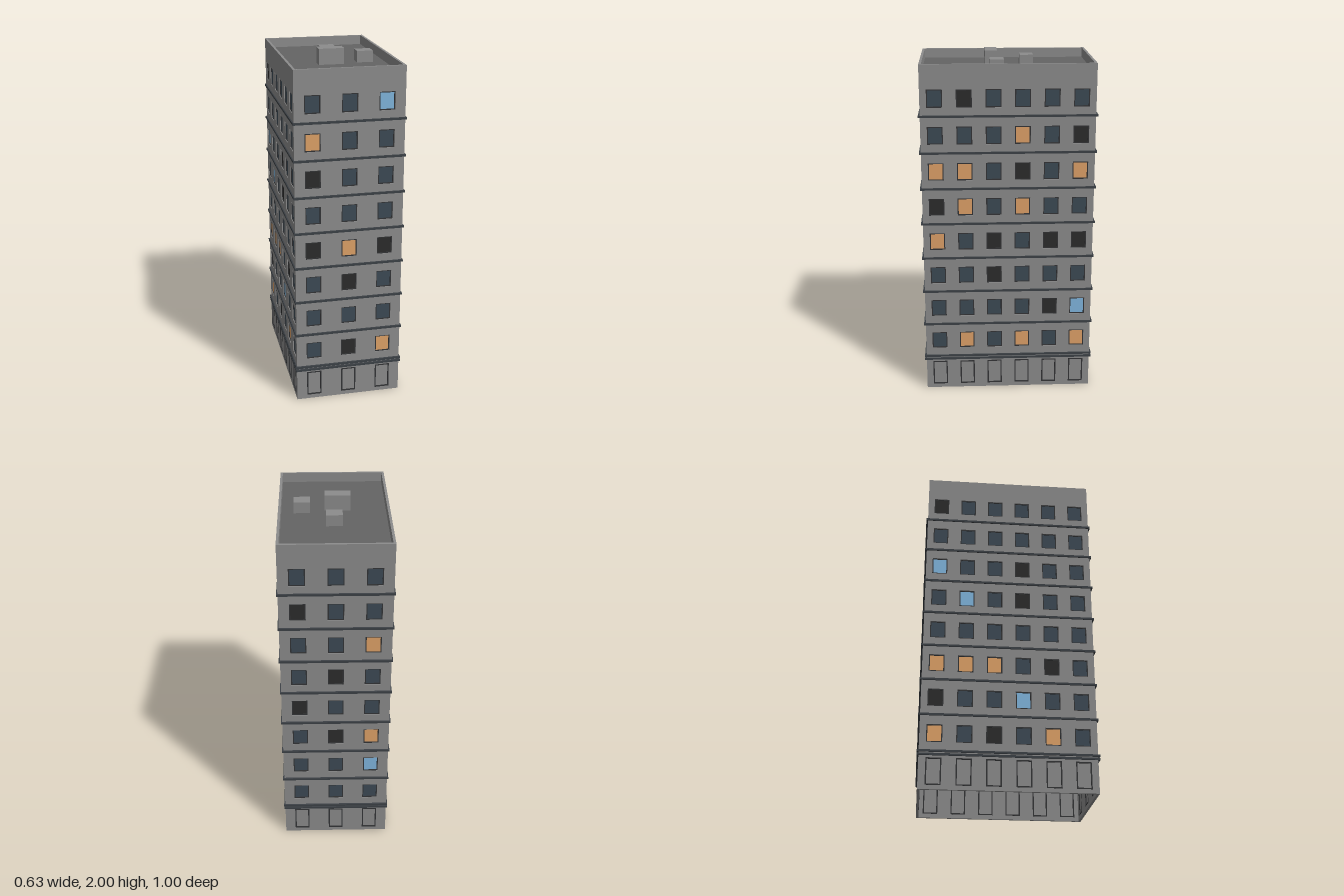
import * as THREE from 'three';

const W = 0.614, D = 0.98, H = 1.965, T = 0.014;   // outer walls
const FLOOR = 0.2087, FIRST = 0.315;               // storey pitch, lowest window centre
const WIN = [0.088, 0.102], DOOR = [0.086, 0.152], DOOR_Y = 0.1;

const paint = (color) => new THREE.MeshStandardMaterial({ color, roughness: 0.9 });
const wallMat = paint(0x8c8c8c), roofMat = paint(0x646464);
const ledgeMat = paint(0x3c4146), frameMat = paint(0x333436);
// N: unlit glass, K: dark room, O: warm light, B: cool light
const glass = { N: paint(0x3d4a55), K: paint(0x2c2c2c), O: paint(0xdfa268), B: paint(0x80b6de) };

// Window states per side, top storey first, left to right seen from outside
const FRONT = ['NNB', 'ONN', 'KNN', 'NNN', 'KOK', 'NKN', 'NNN', 'NKO'];
const BACK = ['NNN', 'KNN', 'NNO', 'NKN', 'KNN', 'NKO', 'NNB', 'NNN'];
const RIGHT = ['NKNNNN', 'NNNONK', 'OONKNO', 'KONONN', 'ONKNKK', 'NNKNNN', 'NNNNKB', 'NONONO'];
const LEFT = ['KNNNNN', 'NNNNNN', 'BNNKNN', 'NBNKNN', 'NNNNNN', 'OOONKN', 'KNNBNN', 'ONKNON'];

function rect(path, cx, cy, w, h) {
  path.moveTo(cx - w / 2, cy - h / 2);
  path.lineTo(cx + w / 2, cy - h / 2);
  path.lineTo(cx + w / 2, cy + h / 2);
  path.lineTo(cx - w / 2, cy + h / 2);
  path.closePath();
  return path;
}

const extrude = (shape, depth) => new THREE.ExtrudeGeometry(shape, { depth, bevelEnabled: false });

function frameGeometry([w, h], border, depth) {
  const s = rect(new THREE.Shape(), 0, 0, w, h);
  s.holes.push(rect(new THREE.Path(), 0, 0, w - 2 * border, h - 2 * border));
  return extrude(s, depth);
}

function add(parent, name, geometry, material, x = 0, y = 0, z = 0) {
  const m = new THREE.Mesh(geometry, material);
  m.name = name;
  m.position.set(x, y, z);
  parent.add(m);
  return m;
}

const windowFrame = frameGeometry(WIN, 0.006, 0.005);
const doorFrame = frameGeometry(DOOR, 0.007, T + 0.002);
const pane = new THREE.BoxGeometry(WIN[0], WIN[1], 0.004);
const doorPanel = new THREE.BoxGeometry(DOOR[0] - 0.008, DOOR[1] - 0.008, 0.006);

// One side of the building, outer face on local z = 0
function facade(name, width, rows, spacing) {
  const g = new THREE.Group();
  g.name = name;
  const wall = rect(new THREE.Shape(), 0, H / 2, width, H);
  const columns = rows[0].length;
  for (let c = 0; c < columns; c++) {
    const x = (c - (columns - 1) / 2) * spacing;
    wall.holes.push(rect(new THREE.Path(), x, DOOR_Y, ...DOOR));
    add(g, 'groundPanelFrame', doorFrame, frameMat, x, DOOR_Y, -T - 0.001);
    add(g, 'groundPanel', doorPanel, wallMat, x, DOOR_Y, -T / 2);
    rows.forEach((row, r) => {
      const y = FIRST + (rows.length - 1 - r) * FLOOR;
      wall.holes.push(rect(new THREE.Path(), x, y, ...WIN));
      add(g, 'windowFrame', windowFrame, frameMat, x, y, -0.009);
      add(g, 'windowPane', pane, glass[row[c]], x, y, -0.009);
    });
  }
  add(g, 'wall', extrude(wall, T), wallMat, 0, 0, -T);
  return g;
}

export function createModel() {
  const model = new THREE.Group();
  model.name = 'apartmentBlock';

  // Four facades
  const sides = [
    ['frontFacade', W, FRONT, 0.205, 0, 0, D / 2],
    ['backFacade', W, BACK, 0.205, Math.PI, 0, -D / 2],
    ['leftFacade', D - 2 * T, RIGHT, 0.1635, Math.PI / 2, W / 2, 0],
    ['rightFacade', D - 2 * T, LEFT, 0.1635, -Math.PI / 2, -W / 2, 0],
  ];
  for (const [name, width, rows, spacing, turn, x, z] of sides) {
    const f = facade(name, width, rows, spacing);
    f.rotation.y = turn;
    f.position.set(x, 0, z);
    model.add(f);
  }

  // Floor slabs that show outside as thin ledges; the lowest is doubled
  const slab = new THREE.BoxGeometry(0.628, 0.012, 1.0);
  add(model, 'groundFloorCeiling', slab, ledgeMat, 0, 0.194, 0);
  for (let i = 0; i < 8; i++) add(model, 'floorSlab', slab, ledgeMat, 0, 0.213 + i * 0.209, 0);

  // Sunken roof behind the parapet
  add(model, 'roof', new THREE.BoxGeometry(W - T, 0.025, D - T), roofMat, 0, 1.8975, 0);

  // Rooftop units: x, z, width, depth, top
  const units = [
    [-0.022, 0.087, 0.145, 0.07, 2.0],
    [0.178, 0.059, 0.092, 0.078, 1.975],
    [0, -0.116, 0.09, 0.077, 1.974],
  ];
  for (const [x, z, w, d, top] of units) {
    const h = top - 1.9;
    add(model, 'rooftopUnit', new THREE.BoxGeometry(w, h, d), wallMat, x, top - h / 2, z);
  }
  return model;
}
